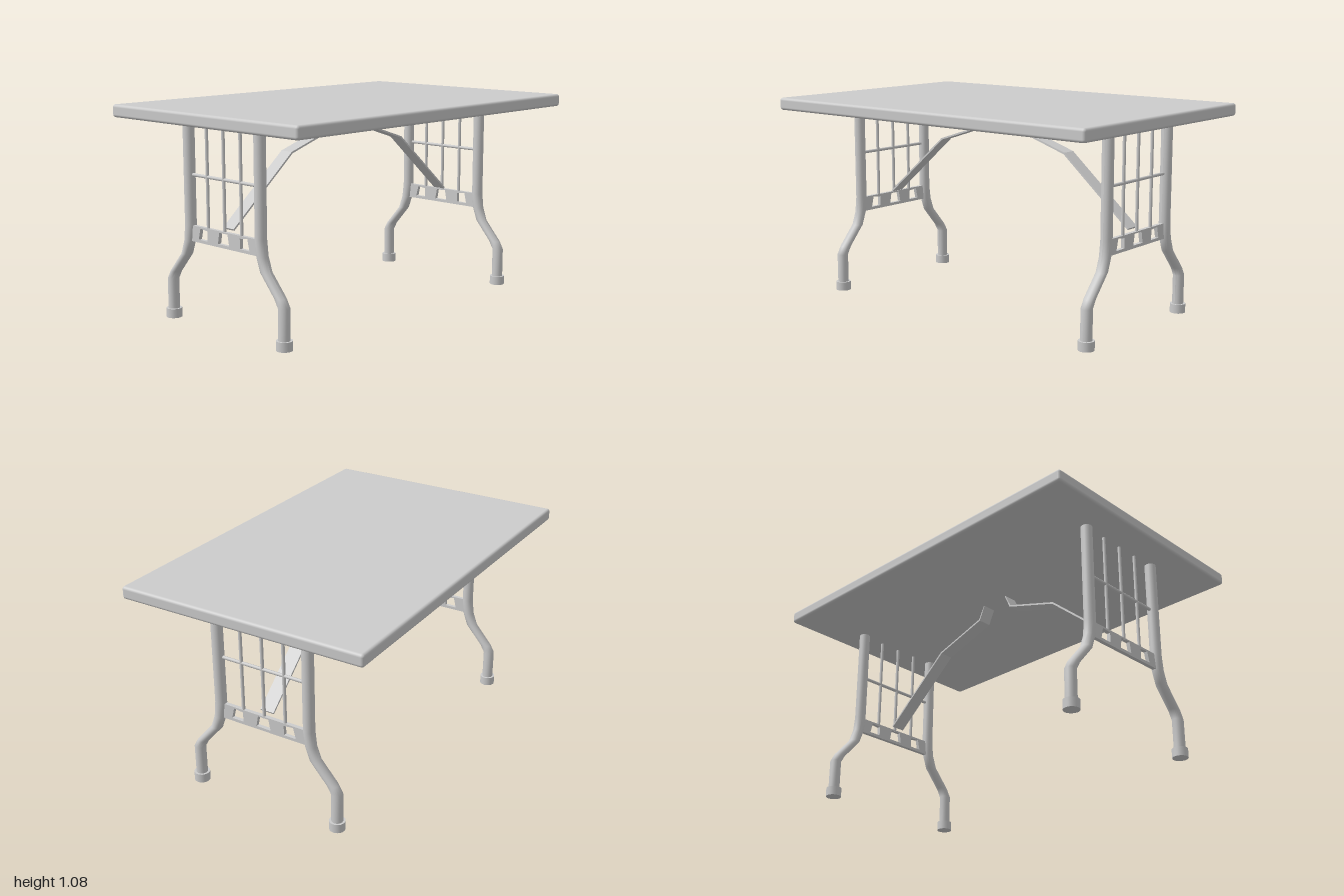
import * as THREE from 'three';
import { RoundedBoxGeometry } from 'three/addons/geometries/RoundedBoxGeometry.js';

const material = new THREE.MeshStandardMaterial({ color: 0xcccccc });
const thinMaterial = new THREE.MeshStandardMaterial({ color: 0xcccccc, side: THREE.DoubleSide });

const UNDERSIDE = 1.015;
const MID_Z = -0.015; // centre line of the leg frames
const LEG_X = 0.832;

function add(parent, name, geometry, x = 0, y = 0, z = 0, mat = material) {
  const mesh = new THREE.Mesh(geometry, mat);
  mesh.name = name;
  mesh.position.set(x, y, z);
  parent.add(mesh);
  return mesh;
}

// Bent leg: level rings of a cylinder, moved outward along a [height, offset] path
function legGeometry(side) {
  const path = [[0, 0.406], [0.2, 0.406], [0.243, 0.382], [0.35, 0.289], [0.42, 0.264], [0.5, 0.255], [UNDERSIDE, 0.255]];
  const geometry = new THREE.CylinderGeometry(0.029, 0.029, path.length - 1, 20, path.length - 1);
  const pos = geometry.attributes.position;
  for (let i = 0; i < pos.count; i++) {
    const [y, offset] = path[Math.round(pos.getY(i) + (path.length - 1) / 2)];
    pos.setY(i, y);
    pos.setZ(i, pos.getZ(i) + side * offset);
  }
  geometry.computeVertexNormals();
  return geometry;
}

function polygon(points, Type) {
  return new Type(points.map(([x, y]) => new THREE.Vector2(x, y)));
}

// Cross plate with three cut-outs, drawn in (z, y) and turned to face along x
function plateGeometry() {
  const shape = polygon([[-0.24, 0.42], [0.24, 0.42], [0.235, 0.5], [-0.235, 0.5]], THREE.Shape);
  const outer = [[0.118, 0.435], [0.185, 0.435], [0.171, 0.492], [0.118, 0.486]];
  shape.holes.push(
    polygon(outer, THREE.Path),
    polygon(outer.map(([z, y]) => [-z, y]), THREE.Path),
    polygon([[-0.041, 0.435], [0.041, 0.435], [0.03, 0.492], [-0.03, 0.492]], THREE.Path)
  );
  const geometry = new THREE.ExtrudeGeometry(shape, { depth: 0.02, bevelEnabled: false });
  geometry.translate(0, 0, -0.01);
  geometry.rotateY(-Math.PI / 2);
  return geometry;
}

// Folded flat strip running from the cross plate up to the table top
function braceGeometry() {
  const line = [[0.807, 0.51], [0.416, 0.843], [0.115, 0.94], [0.079, UNDERSIDE]];
  const t = 0.004;
  const upper = line.map(([x, y]) => [x + t * 0.6, y + t]);
  const lower = line.map(([x, y]) => [x - t * 0.6, y - t]).reverse();
  upper[3][1] = lower[0][1] = UNDERSIDE;
  const geometry = new THREE.ExtrudeGeometry(polygon([...upper, ...lower], THREE.Shape), { depth: 0.075, bevelEnabled: false });
  geometry.translate(0, 0, -0.0375);
  return geometry;
}

function legFrame(end) {
  const frame = new THREE.Group();
  frame.name = end > 0 ? 'leftLegFrame' : 'rightLegFrame';
  const x = end * LEG_X;

  // Legs with end caps
  for (const side of [1, -1]) {
    add(frame, 'leg', legGeometry(side), x, 0, MID_Z);
    add(frame, 'footCap', new THREE.CylinderGeometry(0.04, 0.04, 0.047, 20), x, 0.0235, MID_Z + side * 0.406);
  }

  // Grid of thin rods above the plate
  const rodHeight = UNDERSIDE - 0.49;
  for (const z of [-0.121, 0, 0.121]) {
    add(frame, 'uprightRod', new THREE.CylinderGeometry(0.0085, 0.0085, rodHeight, 10), x, 0.49 + rodHeight / 2, MID_Z + z);
  }
  const crossRod = add(frame, 'crossRod', new THREE.CylinderGeometry(0.0085, 0.0085, 0.48, 10), x, 0.752, MID_Z);
  crossRod.rotation.x = Math.PI / 2;

  add(frame, 'crossPlate', plateGeometry(), x, 0, MID_Z);

  // Folding brace
  const brace = add(frame, 'foldingBrace', braceGeometry(), 0, 0, MID_Z, thinMaterial);
  if (end < 0) brace.rotation.y = Math.PI;
  return frame;
}

export function createModel() {
  const table = new THREE.Group();
  table.name = 'foldingTable';
  add(table, 'tableTop', new RoundedBoxGeometry(2, 0.065, 1.32, 4, 0.015), 0, 1.0475, 0);
  table.add(legFrame(1), legFrame(-1));
  return table;
}
